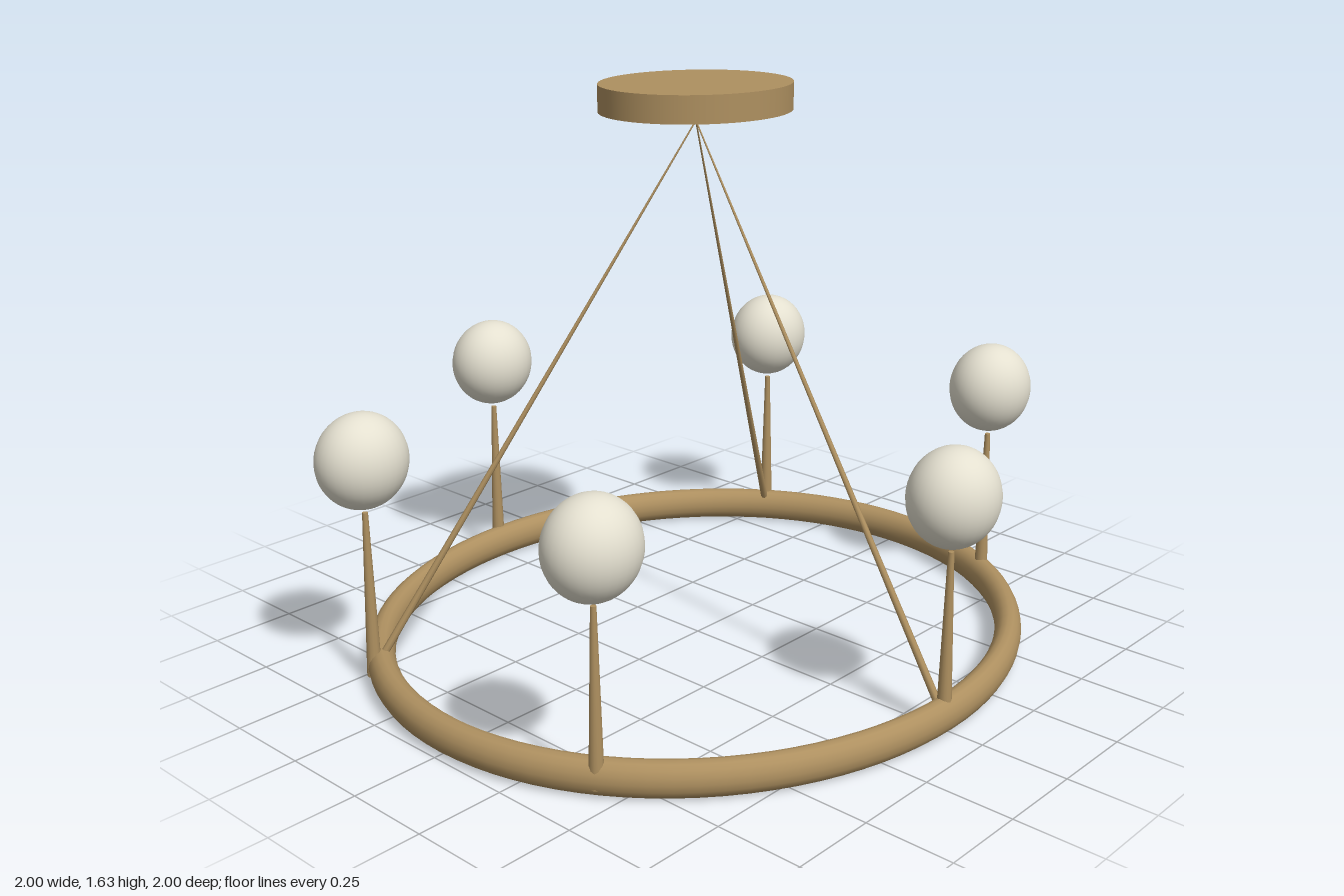
import * as THREE from 'three';

export function createModel() {
  const brass = new THREE.MeshStandardMaterial({ color: 0xae9060 });
  brass.name = 'brass';
  const glass = new THREE.MeshStandardMaterial({ color: 0xe4e0d0 });
  glass.name = 'opalGlass';

  const model = new THREE.Group();
  model.name = 'chandelier';
  const add = (name, geometry, material, x, y, z) => {
    const mesh = new THREE.Mesh(geometry, material);
    mesh.name = name;
    mesh.position.set(x, y, z);
    model.add(mesh);
    return mesh;
  };

  // Oval ring, slightly narrower in x than in z
  const ringGeo = new THREE.TorusGeometry(0.96, 0.041, 16, 96);
  ringGeo.rotateX(Math.PI / 2);
  ringGeo.scale(0.911, 1.22, 0.999);
  add('ring', ringGeo, brass, 0.007, 0.054, 0);

  // Ceiling plate
  const plateGeo = new THREE.CylinderGeometry(0.251, 0.251, 0.075, 64);
  plateGeo.scale(1, 1, 1.12);
  add('ceilingPlate', plateGeo, brass, 0, 1.592, 0.007);

  // Six tapered candle posts, each with a globe floating just above
  const postGeo = new THREE.CylinderGeometry(0.008, 0.021, 0.485, 12);
  const globeGeo = new THREE.SphereGeometry(1, 32, 24);
  globeGeo.scale(0.118, 0.134, 0.131);
  // Three suspension rods, tapering towards the plate
  const hub = new THREE.Vector3(0, 1.525, 0.008);
  const up = new THREE.Vector3(0, 1, 0);
  for (let i = 0; i < 6; i++) {
    const a = (i * Math.PI) / 3;
    const x = 0.882 * Math.cos(a);
    const z = 0.008 + 0.973 * Math.sin(a);
    add('post' + (i + 1), postGeo, brass, x, 0.2725, z);
    add('globe' + (i + 1), globeGeo, glass, x, 0.664, z);
    if (i % 2 === 0) {
      const foot = new THREE.Vector3(x * 0.99, 0.06, 0.008 + (z - 0.008) * 0.99);
      const dir = hub.clone().sub(foot);
      const rodGeo = new THREE.CylinderGeometry(0.002, 0.011, dir.length(), 8);
      const mid = foot.clone().add(hub).multiplyScalar(0.5);
      const rod = add('rod' + (i / 2 + 1), rodGeo, brass, mid.x, mid.y, mid.z);
      rod.quaternion.setFromUnitVectors(up, dir.normalize());
    }
  }
  return model;
}
